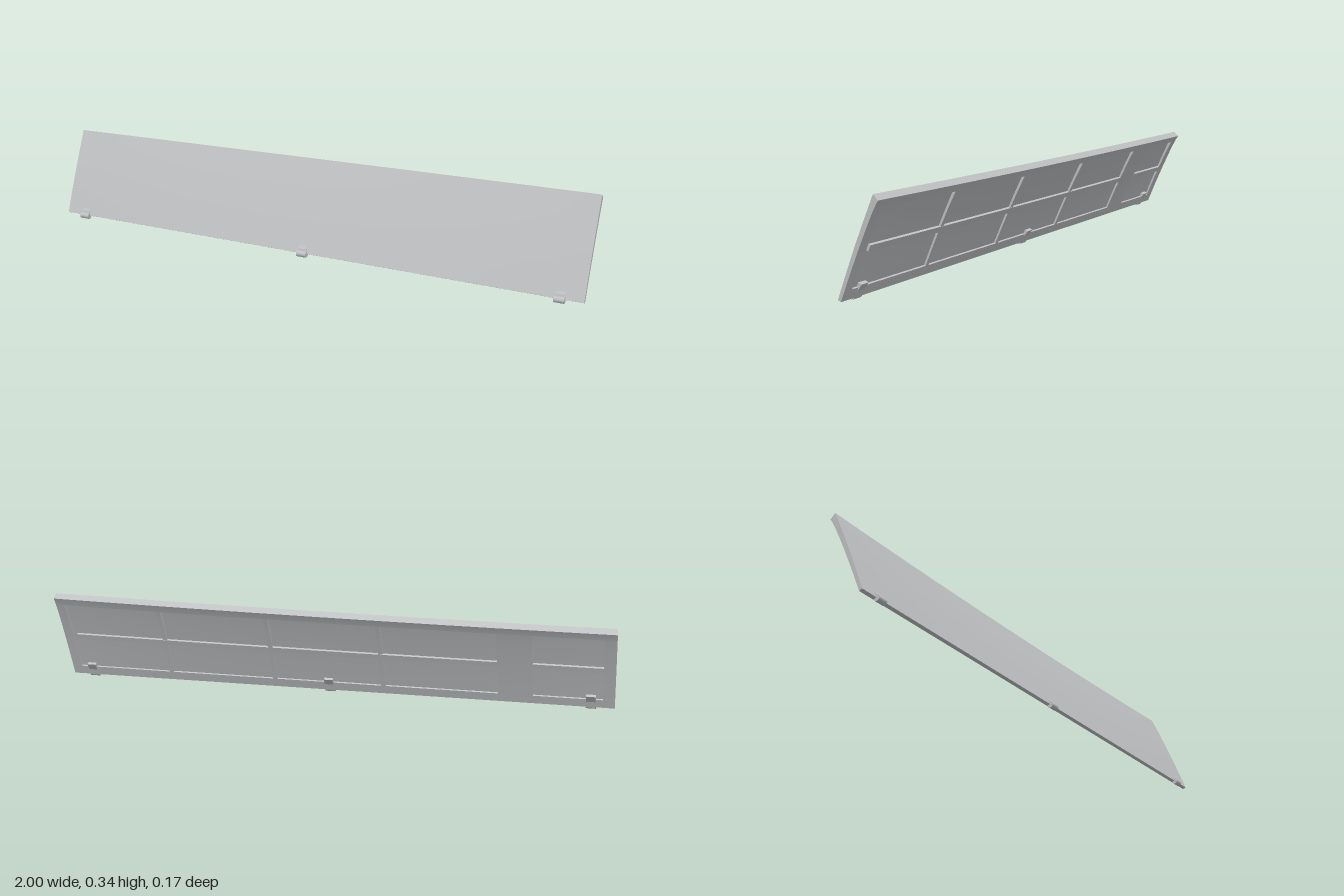
import * as THREE from 'three';

const panelGrey = new THREE.MeshStandardMaterial({ color: 0xbfc1c3 });
panelGrey.name = 'panelGrey';

// Maps x, v (0 bottom to 1 top) and w (0 front to 1 back) onto the leaning, bowed panel
function bend(x, v, w) {
  const topY = 0.319 + 0.0145 * x + 0.0025 * x * x;
  const topZ = -0.071 - 0.0055 * x + 0.0105 * x * x;
  const y = 0.013 + (topY - 0.013) * v;
  const z = 0.072 + (topZ - 0.072) * v;
  const bulge = 0.003 * Math.sin(Math.PI * v);
  const depth = bulge - w * (0.012 + 0.007 * v);
  return [x, y + 0.413 * depth - 0.009 * w * Math.pow(v, 12), z + 0.911 * depth];
}

// A block given in panel coordinates, bent to follow the panel
function block(name, x0, x1, v0, v1, w0, w1) {
  const nx = Math.max(1, Math.ceil((x1 - x0) * 16));
  const nv = Math.max(1, Math.ceil((v1 - v0) * 14));
  const geo = new THREE.BoxGeometry(x1 - x0, v1 - v0, w1 - w0, nx, nv, 1);
  const p = geo.attributes.position;
  for (let i = 0; i < p.count; i++) {
    const x = p.getX(i) + (x0 + x1) / 2;
    const v = p.getY(i) + (v0 + v1) / 2;
    const w = (w0 + w1) / 2 - p.getZ(i);
    p.setXYZ(i, ...bend(x, v, w));
  }
  geo.computeVertexNormals();
  const mesh = new THREE.Mesh(geo, panelGrey);
  mesh.name = name;
  return mesh;
}

// Hinge: a pin below the panel edge with a wedge-shaped bracket behind it
function hinge(x) {
  const group = new THREE.Group();
  group.name = 'hinge';
  const width = 0.036;
  const pin = new THREE.Mesh(new THREE.CylinderGeometry(0.011, 0.011, width, 16), panelGrey);
  pin.name = 'hingePin';
  pin.rotation.z = Math.PI / 2;
  pin.position.set(0, 0.011, 0.073);
  const side = [[0.074, 0.008], [0.068, 0.028], [0.05, 0.056], [0.035, 0.05], [0.062, 0.016]];
  const shape = new THREE.Shape(side.map(([z, y]) => new THREE.Vector2(z, y)));
  const geo = new THREE.ExtrudeGeometry(shape, { depth: width * 0.9, bevelEnabled: false });
  geo.rotateY(-Math.PI / 2);
  geo.translate(width * 0.45, 0, 0);
  const bracket = new THREE.Mesh(geo, panelGrey);
  bracket.name = 'hingeBracket';
  group.add(pin, bracket);
  group.position.x = x;
  return group;
}

export function createModel() {
  const model = new THREE.Group();
  model.name = 'hingedPanel';

  // Outer skin
  model.add(block('skin', -1, 1, 0, 1, 0, 0.5));

  // Raised frame around the back
  model.add(block('topFrame', -1, 1, 0.9, 1, 0.5, 1));
  model.add(block('bottomFrame', -1, 1, 0, 0.1, 0.5, 1));
  model.add(block('leftFrame', 0.965, 1, 0.1, 0.9, 0.5, 1));
  model.add(block('rightFrame', -1, -0.96, 0.1, 0.9, 0.5, 1));

  // Solid pad between the long recess and the end recess
  model.add(block('pad', -0.725, -0.605, 0.1, 0.9, 0.5, 1));

  // Stiffening ribs
  for (const x of [0.6, 0.2, -0.2]) {
    model.add(block('uprightRib', x - 0.008, x + 0.008, 0.1, 0.9, 0.5, 1));
  }
  model.add(block('longRib', -0.605, 0.95, 0.46, 0.52, 0.5, 1.06));
  model.add(block('endRib', -0.96, -0.725, 0.46, 0.52, 0.5, 1.06));

  for (const x of [-0.92, 0, 0.92]) model.add(hinge(x));
  return model;
}
